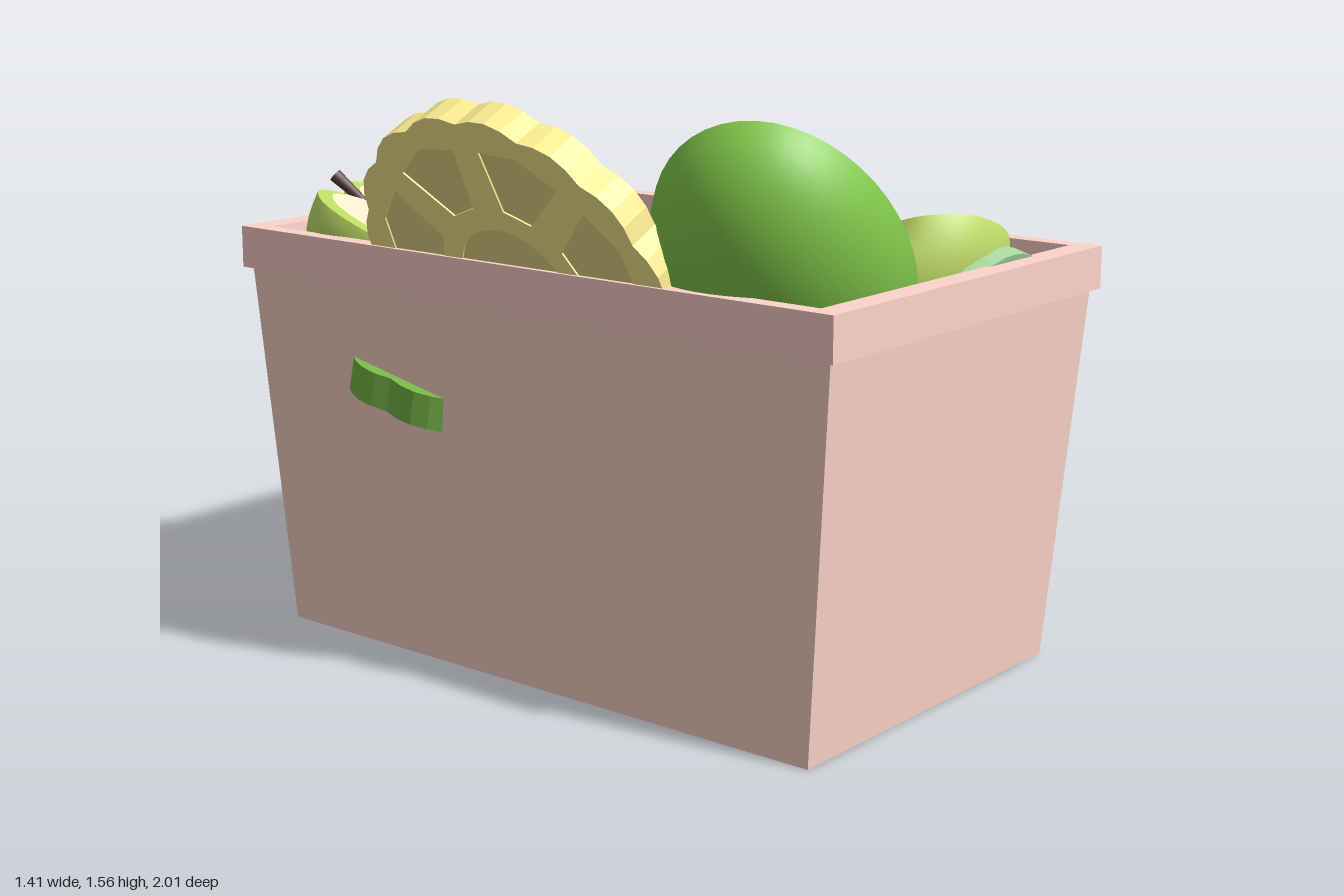
import * as THREE from 'three';

const V2 = (x, y) => new THREE.Vector2(x, y);
const paint = (color, flatShading = false) =>
  new THREE.MeshStandardMaterial({ color, flatShading, side: THREE.DoubleSide });

function add(parent, name, geometry, material) {
  const mesh = new THREE.Mesh(geometry, material);
  mesh.name = name;
  parent.add(mesh);
  return mesh;
}

// Puts a fruit at a point with its cut face along n and its long axis along u
function place(fruit, at, u, n) {
  const z = new THREE.Vector3(...n).normalize();
  const y = new THREE.Vector3(...u);
  y.addScaledVector(z, -y.dot(z)).normalize();
  const x = new THREE.Vector3().crossVectors(y, z);
  fruit.quaternion.setFromRotationMatrix(new THREE.Matrix4().makeBasis(x, y, z));
  fruit.position.set(...at);
  return fruit;
}

// Lofts rectangles given as [half width, y, half depth]
function rectLoft(rings) {
  const pos = [];
  const corner = ([w, y, d], k) => [[w, y, d], [w, y, -d], [-w, y, -d], [-w, y, d]][k % 4];
  for (let i = 0; i < rings.length - 1; i++) {
    for (let k = 0; k < 4; k++) {
      const a = corner(rings[i], k), b = corner(rings[i], k + 1);
      const c = corner(rings[i + 1], k + 1), d = corner(rings[i + 1], k);
      pos.push(...a, ...b, ...c, ...a, ...c, ...d);
    }
  }
  const g = new THREE.BufferGeometry();
  g.setAttribute('position', new THREE.Float32BufferAttribute(pos, 3));
  g.computeVertexNormals();
  return g;
}

// Tapered bin with a thick square rim
function crate() {
  const bin = new THREE.Group();
  bin.name = 'crate';
  const pink = paint(0xfed4ca, true);
  add(bin, 'crateWalls', rectLoft([[0, 0, 0], [0.545, 0, 0.9], [0.595, 1.02, 0.98]]), pink);
  add(bin, 'crateRim', rectLoft([[0.595, 1.02, 0.98], [0.615, 1.02, 1], [0.615, 1.135, 1], [0.565, 1.135, 0.93]]), pink);
  add(bin, 'crateInside', rectLoft([[0.565, 1.135, 0.93], [0.51, 0.05, 0.86], [0, 0.05, 0]]), pink);
  bin.position.x = 0.085;
  return bin;
}

// Half melon with a lattice on the cut face
function melonHalf(a, b, d, longBars) {
  const melon = new THREE.Group();
  melon.name = 'melonHalf';
  const turned = (points) => new THREE.LatheGeometry(points, 48).rotateX(Math.PI / 2).scale(b, a, d);
  const dome = [];
  for (let i = 0; i <= 14; i++) {
    const t = (i / 14) * Math.PI / 2;
    dome.push(V2(Math.sin(t), -Math.cos(t)));
  }
  add(melon, 'melonSkin', turned(dome), paint(0x84cc4c));
  add(melon, 'melonRind', turned([V2(1, 0), V2(0.92, 0.05)]), paint(0x90d456));
  add(melon, 'melonFlesh', turned([V2(0.92, 0.05), V2(0.75, 0.1), V2(0.5, 0.13), V2(0.25, 0.15), V2(0, 0.155)]), paint(0xfbe388));
  const green = paint(0x6cae48, true);
  const bar = (name, w, h, x, y) =>
    add(melon, name, new THREE.BoxGeometry(w, h, 0.025), green).position.set(x, y, 0.04);
  for (let i = 0; i < longBars; i++) {
    bar('latticeBar', 0.022, 0.52, (i - (longBars - 1) / 2) * (longBars > 2 ? 0.115 : 0.17), 0);
  }
  for (const i of [-1, 0, 1]) bar('latticeCrossBar', 0.42, 0.022, 0, i * 0.15);
  return melon;
}

// Half apple: half-turned skin, cut face, seeds and stem
function appleHalf() {
  const apple = new THREE.Group();
  apple.name = 'appleHalf';
  const profile = new THREE.SplineCurve([
    V2(0, -0.25), V2(0.1, -0.275), V2(0.22, -0.23), V2(0.3, -0.08), V2(0.318, 0.08),
    V2(0.27, 0.22), V2(0.16, 0.285), V2(0.06, 0.26), V2(0, 0.215),
  ]).getPoints(40);
  const outline = [...profile, ...profile.slice(1, -1).reverse().map((p) => V2(-p.x, p.y))];
  const skin = new THREE.LatheGeometry(profile, 28, Math.PI / 2, Math.PI).scale(1, 1, 0.85);
  add(apple, 'appleSkin', skin, paint(0xc6e26c));
  add(apple, 'appleEdge', new THREE.ShapeGeometry(new THREE.Shape(outline)), paint(0xbcdc62));
  const flesh = outline.map((p) => V2(p.x * 0.88, p.y * 0.87));
  add(apple, 'appleFlesh', new THREE.ShapeGeometry(new THREE.Shape(flesh)), paint(0xf8eecc)).position.z = 0.006;
  const brown = paint(0x3a2422);
  for (const s of [-1, 1]) {
    const seed = add(apple, 'appleSeed', new THREE.SphereGeometry(1, 14, 10), brown);
    seed.scale.set(0.022, 0.04, 0.016);
    seed.position.set(s * 0.1, 0, 0.008);
    seed.rotation.z = s * 0.15;
  }
  const stem = add(apple, 'appleStem', new THREE.CylinderGeometry(0.02, 0.012, 0.11, 8), paint(0x54383a));
  stem.position.set(0.01, 0.25, 0.01);
  stem.rotation.x = 0.25;
  return apple;
}

// Scalloped round body with optional holes
function scallopedBody(holes) {
  const edge = [];
  for (let i = 0; i < 64; i++) {
    const t = (i / 64) * Math.PI * 2;
    const r = 0.484 + 0.02 * Math.abs(Math.sin(8 * t));
    edge.push(V2(r * Math.cos(t), r * Math.sin(t)));
  }
  const shape = new THREE.Shape(edge);
  shape.holes.push(...holes);
  return new THREE.ExtrudeGeometry(shape, { depth: 0.094, bevelEnabled: false, curveSegments: 24 }).translate(0, 0, -0.047);
}

// Pineapple slice with a shallow sunken core and eight sunken segments
function pineappleSlice() {
  const slice = new THREE.Group();
  slice.name = 'pineappleSlice';
  const polar = (r, t) => V2(r * Math.cos(t), r * Math.sin(t));
  const holes = [new THREE.Path().absarc(0, 0, 0.175, 0, Math.PI * 2, true)];
  for (let i = 0; i < 8; i++) {
    const t = (i + 0.5) * Math.PI / 4;
    holes.push(new THREE.Path([polar(0.24, t - 0.18), polar(0.41, t - 0.29),
      polar(0.43, t), polar(0.41, t + 0.29), polar(0.24, t + 0.18)]));
  }
  add(slice, 'pineappleBody', scallopedBody(holes), paint(0xfff094, true));
  const core = new THREE.CylinderGeometry(0.46, 0.46, 0.084, 32).rotateX(Math.PI / 2);
  add(slice, 'pineappleSegments', core, paint(0xeadd8a, true));
  return slice;
}

// Plain green scalloped slice
function greenSlice() {
  const slice = new THREE.Group();
  slice.name = 'greenSlice';
  add(slice, 'greenSliceBody', scallopedBody([]), paint(0x78b848, true));
  return slice;
}

// Thin pale round slice with a darker rind
function paleSlice() {
  const slice = new THREE.Group();
  slice.name = 'paleSlice';
  const disc = (r, h) => new THREE.CylinderGeometry(r, r, h, 40).rotateX(Math.PI / 2);
  add(slice, 'paleSliceRind', disc(0.29, 0.05), paint(0xa8d89e, true));
  add(slice, 'paleSliceFlesh', disc(0.255, 0.058), paint(0xd8f2c8, true));
  return slice;
}

export function createModel() {
  const model = new THREE.Group();
  model.name = 'fruitCrate';
  model.add(
    crate(),
    // Melon halves
    place(melonHalf(0.48, 0.33, 0.31, 2), [-0.17, 1.17, 0.6], [-0.3, 0.38, 0.12], [0.72, 0.62, -0.28]),
    place(melonHalf(0.5, 0.32, 0.3, 3), [0.26, 0.85, -0.46], [0.41, 0.15, -0.9], [0.05, 0.97, 0.17]),
    // Apple halves
    place(appleHalf(), [-0.15, 1.1, -0.67], [-0.42, 0.42, -0.8], [0.25, 0.85, 0.35]),
    place(appleHalf(), [0.2, 0.86, 0.12], [-0.7, 0.4, -0.68], [0.2, 0.92, 0.34]),
    place(appleHalf(), [0.33, 1.11, 0.58], [-0.93, 0.3, 0.32], [0.31, 0.88, -0.34]),
    // Round slices
    place(pineappleSlice(), [-0.447, 1.095, 0], [-0.45, 0.89, 0], [0.89, 0.45, 0]),
    place(pineappleSlice(), [0.1, 0.78, 0.39], [0, 0, -1], [-0.12, 0.97, -0.18]),
    place(greenSlice(), [-0.04, 0.735, -0.44], [0, 0, -1], [0, 0.98, 0.2]),
    place(paleSlice(), [0.33, 0.77, -0.03], [0, 0, -1], [-0.1, 1, -0.1]),
    place(paleSlice(), [0.34, 0.88, 0.845], [0, 1, 0], [0, 0.27, -0.96]),
  );
  return model;
}
